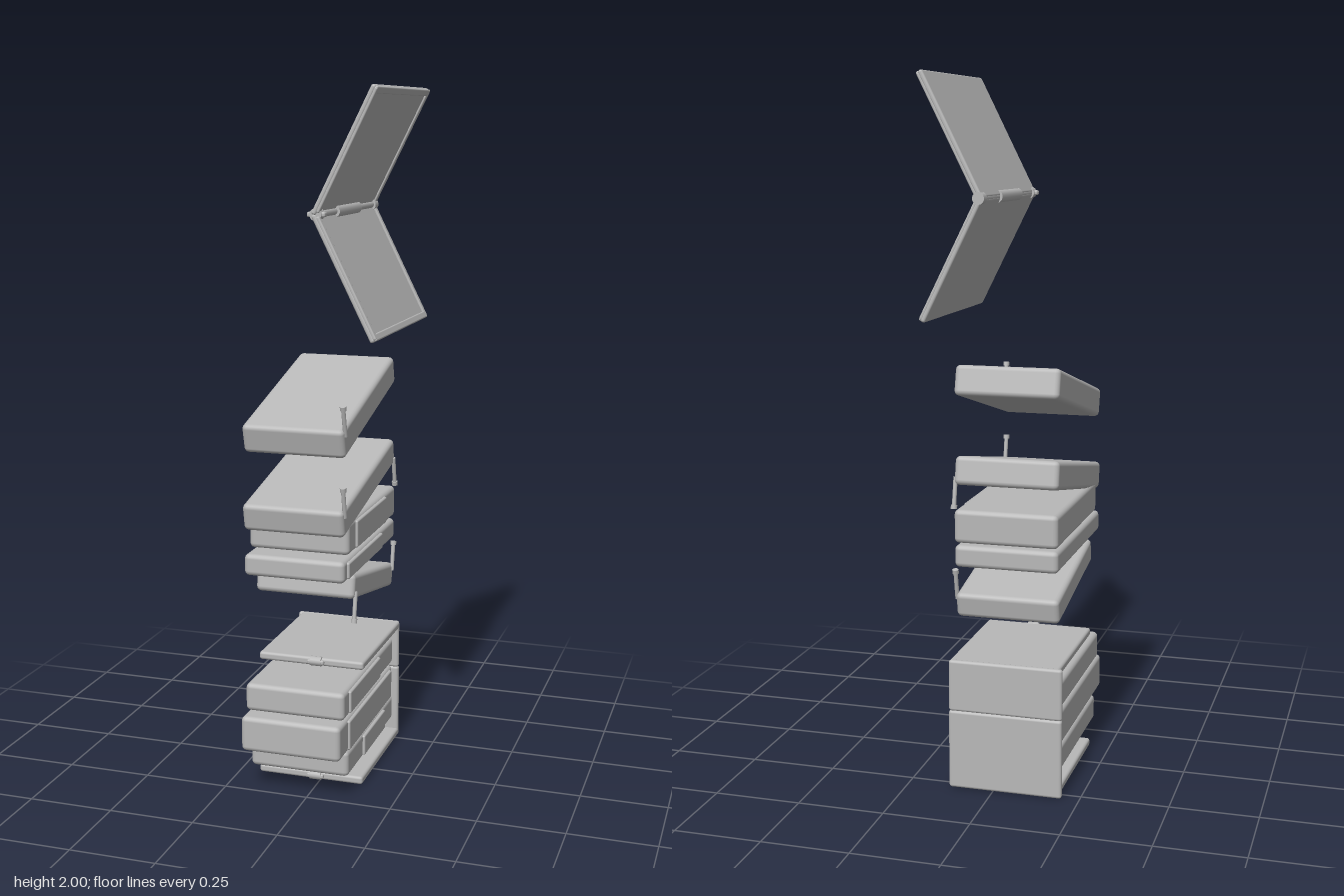
import * as THREE from 'three';
import { RoundedBoxGeometry } from 'three/addons/geometries/RoundedBoxGeometry.js';

const grey = new THREE.MeshStandardMaterial({ color: 0xb8b8b8 });
grey.name = 'plain grey';

function add(parent, name, geometry, x = 0, y = 0, z = 0) {
  const mesh = new THREE.Mesh(geometry, grey);
  mesh.name = name;
  mesh.position.set(x, y, z);
  parent.add(mesh);
  return mesh;
}

// Soft-edged box given by its ranges along x, y and z
function block(parent, name, [x0, x1], [y0, y1], [z0, z1], r = 0.014) {
  const size = [x1 - x0, y1 - y0, z1 - z0];
  const radius = Math.min(r, Math.min(...size) * 0.45);
  return add(parent, name, new RoundedBoxGeometry(...size, 2, radius),
    (x0 + x1) / 2, (y0 + y1) / 2, (z0 + z1) / 2);
}

// Slim post with a wider cap at its free end; dir is +1 up or -1 down
function pin(parent, x, y, z, dir) {
  const group = new THREE.Group();
  group.name = 'pin';
  group.position.set(x, y, z);
  group.scale.setScalar(1);
  add(group, 'pinShaft', new THREE.CylinderGeometry(0.006, 0.006, 0.085, 10), 0, dir * 0.02, 0);
  add(group, 'pinCap', new THREE.CylinderGeometry(0.009, 0.009, 0.012, 10), 0, dir * 0.062, 0);
  parent.add(group);
}

const SLAB_X = [-0.185, 0.112];

// Level slab with a thin raised side panel
function levelSlab(parent, name, y, z, panelZ) {
  block(parent, name, SLAB_X, y, z);
  block(parent, name + 'SidePanel', [0.104, 0.119], [y[0] + 0.008, y[1] - 0.008], panelZ, 0.005);
}

// Tilted slab about its centre, with pins at its ends
function tiltedSlab(parent, name, y, z, length, thick, angle, pins) {
  const group = new THREE.Group();
  group.name = name;
  group.position.set(0, y, z);
  group.rotation.x = angle;
  block(group, 'slabBody', SLAB_X, [-thick / 2, thick / 2], [-length / 2, length / 2]);
  for (const [end, dir] of pins) {
    pin(group, 0.112, dir * thick * 0.5, end * (length / 2 - 0.018), dir);
  }
  parent.add(group);
}

// One cover leaf rising from the hinge; inner is the side carrying the lip
function coverLeaf(parent, name, angle, inner) {
  const leaf = new THREE.Group();
  leaf.name = name;
  leaf.position.set(0.03, 1.668, -0.005);
  leaf.rotation.z = angle;
  block(leaf, 'leafPanel', [-0.007, 0.007], [0, 0.374], [-0.275, 0.275], 0.006);
  const lipX = inner > 0 ? [0.003, 0.013] : [-0.013, -0.003];
  block(leaf, 'outerLip', lipX, [0.354, 0.374], [-0.272, 0.272], 0.004);
  for (const s of [-1, 1]) {
    const z = s > 0 ? [0.255, 0.274] : [-0.274, -0.255];
    block(leaf, 'sideLip', lipX, [0.01, 0.37], z, 0.004);
  }
  parent.add(leaf);
}

export function createModel() {
  const model = new THREE.Group();
  model.name = 'explodedSlabStack';

  // Open case: floor, roof and a back wall in two sections
  const shell = new THREE.Group();
  shell.name = 'case';
  model.add(shell);
  block(shell, 'backWallLower', [-0.2, 0.13], [0.002, 0.232], [-0.284, -0.264], 0.008);
  block(shell, 'backWallUpper', [-0.2, 0.13], [0.23, 0.38], [-0.282, -0.264], 0.008);
  for (const [name, y, front] of [['floor', 0.003, 0.125], ['roof', 0.355, 0.12]]) {
    block(shell, name, [-0.19, 0.13], [y, y + 0.024], [-0.28, front], 0.008);
    // Front catch
    const knob = add(shell, name + 'Catch', new THREE.CylinderGeometry(0.014, 0.014, 0.034, 12), -0.014, y + 0.013, front - 0.004);
    knob.rotation.z = Math.PI / 2;
    block(shell, name + 'CatchBar', [-0.04, 0.012], [y + 0.005, y + 0.019], [front - 0.02, front + 0.008], 0.005);
  }

  // Three slabs stored inside the case
  levelSlab(model, 'lowerDrawer', [0.06, 0.137], [-0.27, 0.21], [-0.16, 0.06]);
  levelSlab(model, 'middleDrawer', [0.137, 0.241], [-0.262, 0.29], [-0.23, 0.21]);
  levelSlab(model, 'upperDrawer', [0.245, 0.327], [-0.27, 0.25], [-0.105, 0.2]);

  // Loose slabs above
  tiltedSlab(model, 'lowTiltedSlab', 0.575, -0.055, 0.42, 0.072, -0.19, [[1, -1], [-1, 1]]);
  levelSlab(model, 'lowerLevelSlab', [0.65, 0.713], [-0.275, 0.25], [-0.12, 0.22]);
  levelSlab(model, 'upperLevelSlab', [0.72, 0.815], [-0.278, 0.205], [-0.16, 0.14]);
  tiltedSlab(model, 'middleTiltedSlab', 0.873, -0.007, 0.535, 0.08, 0.2, [[1, 1], [-1, -1]]);
  tiltedSlab(model, 'topTiltedSlab', 1.111, -0.007, 0.53, 0.085, 0.255, [[1, 1]]);

  // Folding cover at the top
  const cover = new THREE.Group();
  cover.name = 'foldingCover';
  model.add(cover);
  coverLeaf(cover, 'upperLeaf', -0.464, 1);
  coverLeaf(cover, 'lowerLeaf', -(Math.PI - 0.464), -1);
  for (const [name, r, length, z] of [['hingeRod', 0.011, 0.54, -0.008], ['hingeSleeve', 0.018, 0.21, 0],
    ['hingeFrontCap', 0.017, 0.03, 0.25], ['hingeBackCap', 0.017, 0.03, -0.265]]) {
    add(cover, name, new THREE.CylinderGeometry(r, r, length, 14), 0.036, 1.668, z).rotation.x = Math.PI / 2;
  }
  block(cover, 'hingePin', [0.01, 0.062], [1.661, 1.675], [0.24, 0.262], 0.005);

  return model;
}
